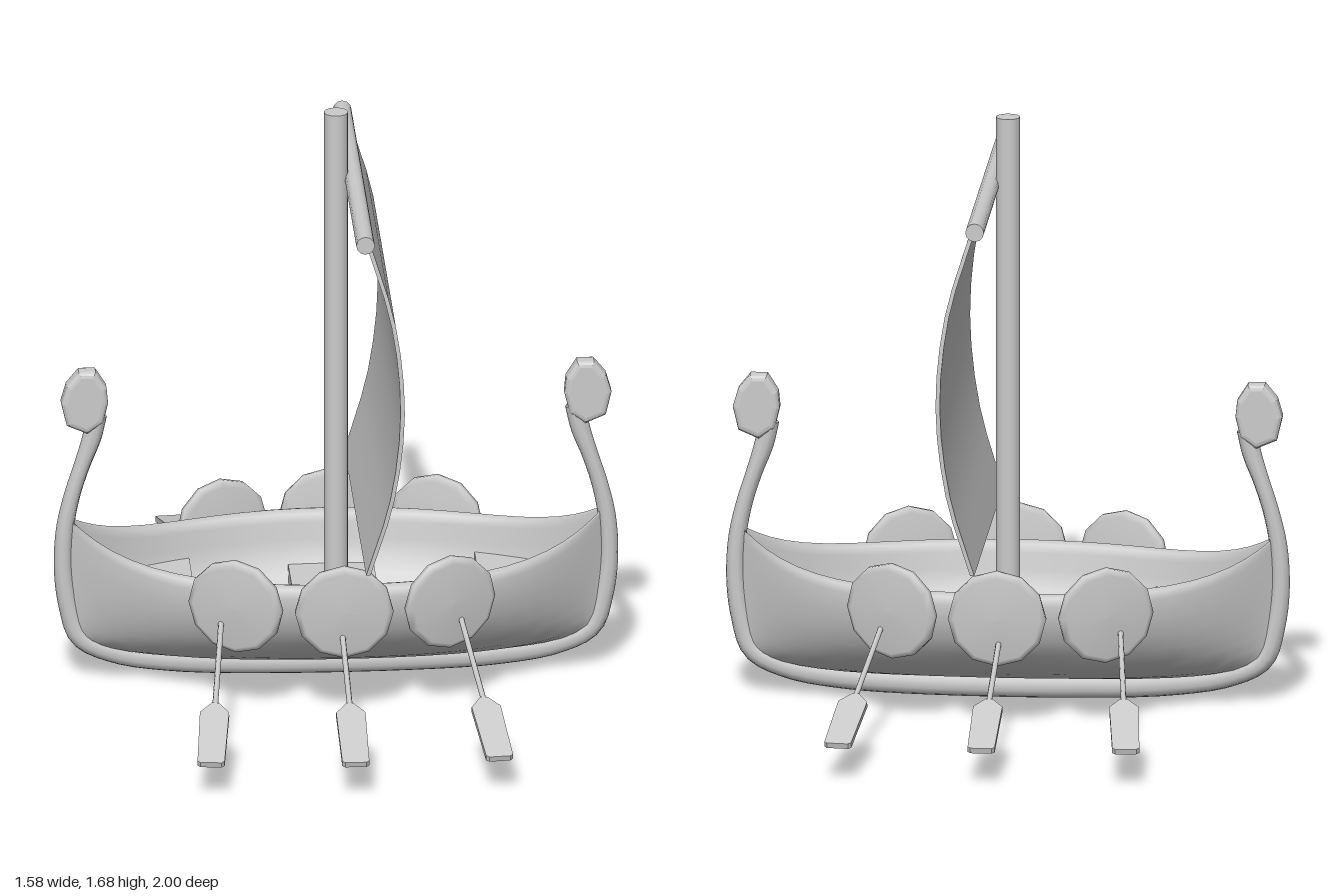
import * as THREE from 'three';

const grey = new THREE.MeshStandardMaterial({ color: 0xcccccc });
const greyTwoSided = new THREE.MeshStandardMaterial({ color: 0xcccccc, side: THREE.DoubleSide });

function part(name, geometry, parent, material = grey) {
  const mesh = new THREE.Mesh(geometry, material);
  mesh.name = name;
  parent.add(mesh);
  return mesh;
}

// Skin a list of closed rings (arrays of [x, y, z]) into one smooth surface.
function loft(rings) {
  const n = rings[0].length, index = [];
  for (let i = 0; i < rings.length - 1; i++) {
    for (let j = 0; j < n; j++) {
      const a = i * n + j, b = i * n + (j + 1) % n;
      index.push(a, b, a + n, b, b + n, a + n);
    }
  }
  const g = new THREE.BufferGeometry();
  g.setAttribute('position', new THREE.Float32BufferAttribute(rings.flat(2), 3));
  g.setIndex(index);
  g.computeVertexNormals();
  return g;
}

// Hull lines: half beam, gunwale height and bottom height along x.
const HALF = 0.745;
const ratio = x => Math.min(1, Math.abs(x) / HALF);
const beam = x => 0.01 + 0.33 * (1 - ratio(x) ** 2.2);
const gunwale = x => 0.38 + 0.1 * ratio(x) ** 6;
const bottom = x => 0.07 + 0.06 * ratio(x) ** 6;
const innerBeam = x => beam(x) * 0.8;
const innerBottom = x => bottom(x) + 0.035;

// U-shaped section from the +z edge under the keel to the -z edge.
function uSection(x, w, low, high) {
  const points = [];
  for (let k = -8; k <= 8; k++) {
    const a = (k / 8) * Math.PI / 2;
    points.push([x, low + (high - low) * (1 - Math.cos(a)), -w * Math.sin(a)]);
  }
  return points;
}

function hullGeometry() {
  const rings = [];
  for (let i = 0; i <= 28; i++) {
    const x = -HALF * Math.cos((i / 28) * Math.PI);
    const w = beam(x), top = gunwale(x), edge = top - 0.03;
    const outer = uSection(x, w, bottom(x), edge);
    const inner = uSection(x, innerBeam(x), innerBottom(x), edge).reverse();
    const rim = s => [[x, top - 0.008, s * w * 0.97], [x, top, s * w * 0.9], [x, top - 0.008, s * w * 0.83]];
    rings.push([...outer, ...rim(-1), ...inner, ...rim(1).reverse()]);
  }
  return loft(rings);
}

// Deck board that follows the inside of the hull, with its top at height y.
function deckGeometry(x0, x1, y, depth) {
  const side = [];
  for (let i = 0; i <= 10; i++) {
    const x = x0 + (x1 - x0) * i / 10, low = innerBottom(x);
    const c = 1 - (y - 0.03 - low) / (gunwale(x) - 0.03 - low);
    side.push(new THREE.Vector2(x, 1.06 * innerBeam(x) * Math.sqrt(Math.max(0, 1 - c * c))));
  }
  const mirrored = side.map(p => new THREE.Vector2(p.x, -p.y));
  const shape = new THREE.Shape([...mirrored, ...side.reverse()]);
  return new THREE.ExtrudeGeometry(shape, { depth, bevelEnabled: false }).rotateX(Math.PI / 2).translate(0, y, 0);
}

// Keel running up into both stems; third number is the half thickness.
function keelGeometry() {
  const half = [
    [0.67, 0.79, 0.028], [0.685, 0.72, 0.027], [0.712, 0.64, 0.023], [0.74, 0.55, 0.023], [0.76, 0.45, 0.025],
    [0.765, 0.33, 0.026], [0.75, 0.22, 0.028], [0.716, 0.125, 0.03], [0.62, 0.078, 0.033], [0.46, 0.052, 0.035], [0.22, 0.04, 0.035],
  ].map(p => new THREE.Vector3(...p));
  const mirrored = half.map(p => new THREE.Vector3(-p.x, p.y, p.z));
  const curve = new THREE.CatmullRomCurve3([...mirrored, ...half.reverse()]);
  const rings = [];
  for (let i = 0; i <= 80; i++) {
    const p = curve.getPoint(i / 80), t = curve.getTangent(i / 80);
    const len = Math.hypot(t.x, t.y), ring = [];
    for (let j = 0; j < 10; j++) {
      const a = (j / 10) * Math.PI * 2, r = p.z * Math.cos(a);
      ring.push([p.x - t.y / len * r, p.y + t.x / len * r, 0.025 * Math.sin(a)]);
    }
    rings.push(ring);
  }
  return loft(rings);
}

// Flat rounded knob at the top of a stem.
function stemHeadGeometry() {
  const outline = [[0.7, 0.757], [0.742, 0.775], [0.755, 0.83], [0.742, 0.875], [0.715, 0.908],
    [0.684, 0.908], [0.66, 0.87], [0.656, 0.83], [0.668, 0.78]];
  const shape = new THREE.Shape(outline.map(p => new THREE.Vector2(...p)));
  return new THREE.ExtrudeGeometry(shape, {
    depth: 0.03, bevelThickness: 0.015, bevelSize: 0.016, bevelSegments: 3,
  }).translate(0, 0, -0.015);
}

// Sail: a thin sheet bellied along its height.
function sailGeometry() {
  const belly = new THREE.CatmullRomCurve3([
    [0.06, 0.48, 0.5], [0.127, 0.71, 0.515], [0.155, 0.97, 0.525], [0.13, 1.23, 0.518], [0.06, 1.47, 0.5],
  ].map(p => new THREE.Vector3(...p)));
  const g = new THREE.BoxGeometry(0.012, 1, 2, 1, 12, 1);
  const pos = g.attributes.position;
  for (let i = 0; i < pos.count; i++) {
    const p = belly.getPoint(pos.getY(i) + 0.5);
    pos.setXYZ(i, p.x + pos.getX(i), p.y, pos.getZ(i) * p.z);
  }
  g.computeVertexNormals();
  return g;
}

// Oar along +z from the origin: round shaft and a flat blade.
function makeOar(length) {
  const oar = new THREE.Group();
  oar.name = 'oar';
  const shaft = new THREE.CylinderGeometry(0.008, 0.008, length - 0.25, 8);
  part('oarShaft', shaft.rotateX(Math.PI / 2).translate(0, 0, (length - 0.25) / 2), oar);
  const blade = new THREE.Shape([[-0.01, 0.29], [-0.041, 0.245], [-0.038, 0.008], [-0.03, 0], [0.03, 0], [0.038, 0.008], [0.041, 0.245], [0.01, 0.29]]
    .map(([x, d]) => new THREE.Vector2(x, length - d)).reverse());
  const plate = new THREE.ExtrudeGeometry(blade, { depth: 0.016, bevelEnabled: false });
  part('oarBlade', plate.rotateX(Math.PI / 2).translate(0, 0.008, 0), oar);
  return oar;
}

export function createModel() {
  const ship = new THREE.Group();
  ship.name = 'longship';

  part('hull', hullGeometry(), ship, greyTwoSided);
  part('keelAndStems', keelGeometry(), ship, greyTwoSided);
  for (const s of [-1, 1]) {
    part('stemHead', stemHeadGeometry(), ship).rotation.y = s < 0 ? Math.PI : 0;
    part('endDeck', deckGeometry(s < 0 ? -0.68 : 0.4, s < 0 ? -0.4 : 0.68, 0.28, 0.08), ship);
  }
  part('floor', deckGeometry(-0.41, 0.41, 0.19, 0.02), ship);
  part('mastBench', deckGeometry(-0.12, 0.12, 0.24, 0.05), ship);

  // Mast, yard and sail
  part('mast', new THREE.CylinderGeometry(0.034, 0.034, 1.51, 16), ship).position.y = 0.925;
  const yard = part('yard', new THREE.CylinderGeometry(0.026, 0.026, 1.08, 12), ship);
  yard.rotation.x = Math.PI / 2;
  yard.position.set(0.05, 1.482, 0);
  part('sail', sailGeometry(), ship, greyTwoSided);

  // Shields and oars, three on each side
  const profile = [[0, -0.02], [0.122, -0.02], [0.138, -0.008], [0.138, 0.008], [0.122, 0.02], [0, 0.024]]
    .map(p => new THREE.Vector2(...p));
  const shieldGeometry = new THREE.LatheGeometry(profile, 12).rotateX(Math.PI / 2);
  for (const side of [1, -1]) {
    for (const k of [-1, 0, 1]) {
      const shield = part('shield', shieldGeometry, ship);
      shield.position.set(k * 0.3, 0.327, side * (k ? 0.315 : 0.378));
      shield.rotation.order = 'YXZ';
      shield.rotation.y = side > 0 ? k * 0.4 : Math.PI - k * 0.4;
      shield.rotation.x = 0.06;

      const start = new THREE.Vector3(k * 0.335 - 0.005, 0.28, side * 0.3);
      const end = new THREE.Vector3(k * 0.405 - 0.005, 0.104, side * (k ? 0.975 : 0.998));
      const oar = makeOar(start.distanceTo(end));
      oar.position.copy(start);
      oar.lookAt(end);
      ship.add(oar);
    }
  }
  return ship;
}
